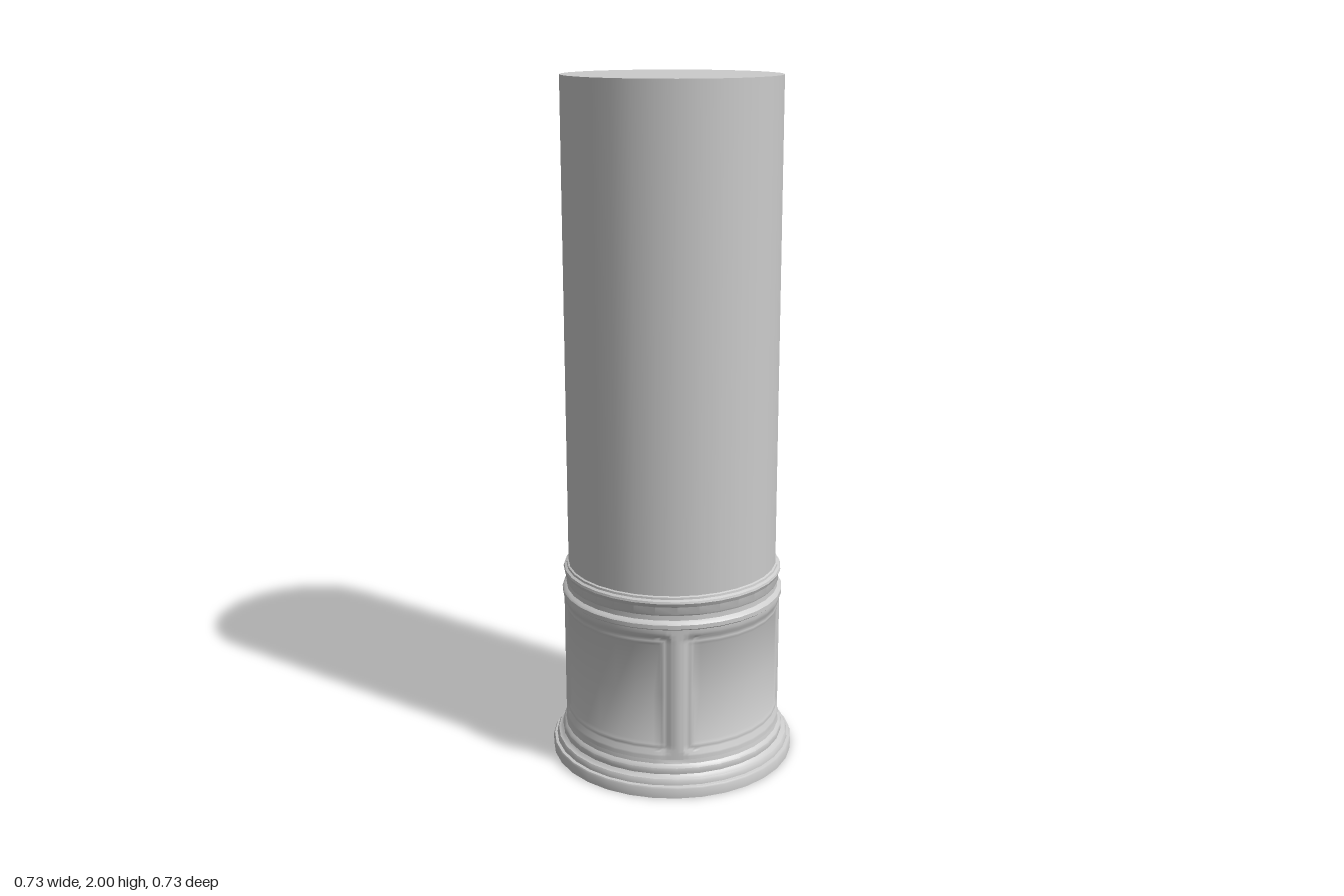
import * as THREE from 'three';
import { toCreasedNormals } from 'three/addons/utils/BufferGeometryUtils.js';

const SIDES = 32;
const SHAFT_R = 0.308;
const material = new THREE.MeshStandardMaterial({ color: 0xcccccc });
const shellMaterial = new THREE.MeshStandardMaterial({ color: 0xcccccc, side: THREE.DoubleSide });

function addMesh(group, name, geometry, mat) {
  const mesh = new THREE.Mesh(geometry, mat);
  mesh.name = name;
  group.add(mesh);
}

// Ring moulding turned from [radius, y] pairs, listed from bottom to top
function moulding(profile) {
  const points = profile.map(([r, y]) => new THREE.Vector2(r, y));
  return toCreasedNormals(new THREE.LatheGeometry(points, SIDES), 0.6);
}

// Panel relief: [distance in from the panel edge, radius]
const RELIEF = [[0, 0.322], [0.01, 0.322], [0.02, 0.319], [0.028, 0.314], [0.036, 0.3165], [0.044, 0.315], [0.052, 0.311]];

function reliefRadius(d) {
  for (let i = 1; i < RELIEF.length; i++) {
    const [d0, r0] = RELIEF[i - 1], [d1, r1] = RELIEF[i];
    if (d <= d1) return r0 + (r1 - r0) * Math.max(0, d - d0) / (d1 - d0);
  }
  return RELIEF[RELIEF.length - 1][1];
}

// Cylindrical sleeve with four recessed panels and raised ribs between them
function panelSleeve(bottom, top) {
  const steps = [0, 0.01, 0.015, 0.02, 0.024, 0.028, 0.036, 0.044, 0.052];
  const height = top - bottom;
  const rows = [...steps, height / 2, ...steps.map(s => height - s).reverse()];
  const quarter = Math.PI / 2, meanR = 0.318;
  const edge = steps.map(s => s / meanR);
  const middle = [3, 4, 5].map(i => i * Math.PI / 16);
  const half = [...edge, Math.PI / 16 + 0.02, Math.PI / 8];
  const columns = [...half, ...middle, ...half.slice().reverse().map(u => quarter - u)];
  const corner = 0.04;
  const positions = [], index = [];
  const angles = [];
  for (let q = 0; q < 4; q++) {
    for (const u of [...new Set(columns)].sort((a, b) => a - b)) angles.push([q * quarter + u, u]);
  }
  for (const [angle, u] of angles) {
    const dx = Math.min(u, quarter - u) * meanR;
    for (const h of rows) {
      const dy = Math.min(h, height - h);
      let d = Math.min(dx, dy);
      if (dx < corner && dy < corner) d = corner - Math.hypot(corner - dx, corner - dy);
      const r = reliefRadius(d);
      positions.push(r * Math.sin(angle), bottom + h, r * Math.cos(angle));
    }
  }
  const n = rows.length;
  for (let c = 0; c < angles.length - 1; c++) {
    for (let j = 0; j < n - 1; j++) {
      const a = c * n + j, b = a + n;
      index.push(a, b, b + 1, a, b + 1, a + 1);
    }
  }
  const geometry = new THREE.BufferGeometry();
  geometry.setAttribute('position', new THREE.Float32BufferAttribute(positions, 3));
  geometry.setIndex(index);
  return toCreasedNormals(geometry, 1.0);
}

export function createModel() {
  const group = new THREE.Group();
  group.name = 'column';

  // Plain round shaft
  const shaft = new THREE.CylinderGeometry(SHAFT_R, SHAFT_R, 2, SIDES);
  shaft.translate(0, 1, 0);
  addMesh(group, 'shaft', shaft, material);

  // Flared foot, open underneath
  addMesh(group, 'footMoulding', moulding([
    [0.363, 0], [0.363, 0.028], [0.36, 0.033], [0.352, 0.035],
    [0.351, 0.045], [0.347, 0.052], [0.336, 0.056], [0.333, 0.06],
    [0.334, 0.068], [0.333, 0.078], [0.328, 0.084], [0.324, 0.088], [0.322, 0.1],
  ]), shellMaterial);

  // Panelled drum
  addMesh(group, 'panelSleeve', panelSleeve(0.1, 0.5), shellMaterial);

  // Neck mouldings above the panels
  addMesh(group, 'neckMoulding', moulding([
    [0.322, 0.5], [0.327, 0.504], [0.327, 0.516], [0.322, 0.522],
    [0.315, 0.526], [0.314, 0.54], [0.317, 0.545], [0.317, 0.566],
    [0.321, 0.572], [0.323, 0.578], [0.321, 0.584], [0.314, 0.588],
    [0.313, 0.594], [0.307, 0.597],
  ]), shellMaterial);

  return group;
}
